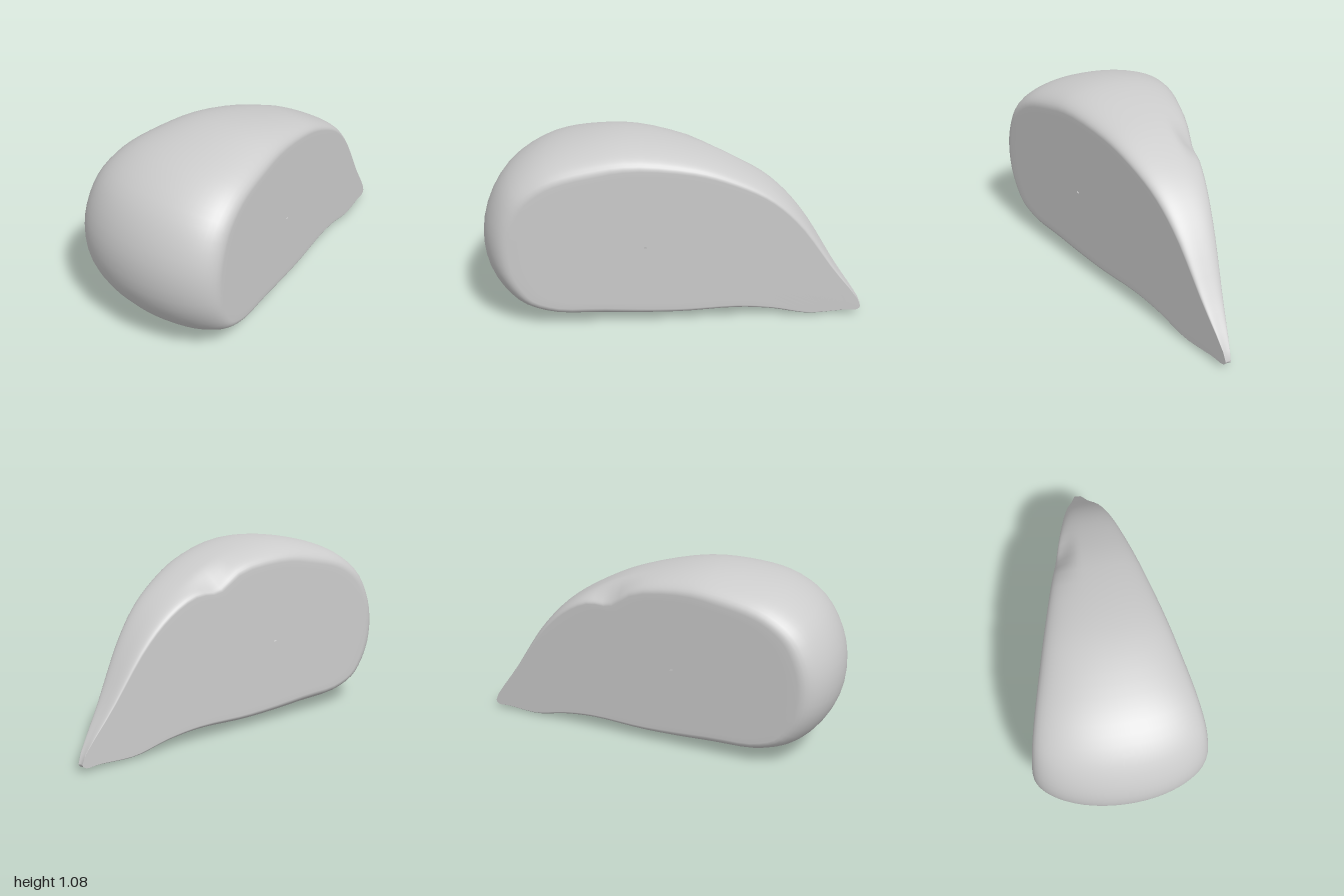
import * as THREE from 'three';

const APEX = { x: 0.775, z: -0.985 };       // vertical axis the wedge swings around
const MID = THREE.MathUtils.degToRad(34.4); // centre direction, from +z towards -x
const HALF = THREE.MathUtils.degToRad(13.8); // half of the wedge angle
const COLS = 80;

// Side profile of the wedge: distance from the apex, height
const PROFILE = [
  [0, 0.045], [0.18, 0.32], [0.38, 0.62], [0.55, 0.79], [0.77, 0.92], [1.0, 1.01],
  [1.4, 1.083], [1.7, 1.06], [1.95, 0.985], [2.14, 0.84], [2.25, 0.6], [2.24, 0.35],
  [2.1, 0.14], [1.87, 0.04], [1.5, 0.02], [1.1, 0.02], [0.75, 0.045], [0.55, 0.035],
  [0.32, 0.0], [0.1, 0.018], [0.02, 0.02],
];

function createWedgeGeometry() {
  const curve = new THREE.CatmullRomCurve3(
    PROFILE.map(([r, y]) => new THREE.Vector3(r, y, 0)), true, 'centripetal');
  const outline = [];
  for (let j = 0; j < COLS; j++) {
    const p = curve.getPoint(j / COLS), t = curve.getTangent(j / COLS);
    outline.push({ r: p.x, y: p.y, nr: -t.y, ny: t.x }); // outward normal
  }

  // Slices: flat right face, rounded sweep, flat left face
  const slices = [0.01, 0.35, 0.7, 0.92].map((s) => ({ u: -1, s }));
  const SWEEP = 28;
  for (let i = 0; i <= SWEEP; i++) {
    slices.push({ u: Math.sin((i / SWEEP - 0.5) * Math.PI), s: 1 });
  }
  slices.push(...[0.92, 0.7, 0.35, 0.01].map((s) => ({ u: 1, s })));

  const positions = [], index = [];
  for (const { u, s } of slices) {
    // the outline draws in towards both cut faces, which rounds the rim
    const round = 1 - Math.pow(Math.max(0, 1 - Math.pow(Math.abs(u), 2.1)), 1 / 2.1);
    const angle = MID + u * HALF;
    for (const { r, y, nr, ny } of outline) {
      const grow = Math.min(1, r / 1.6) * round;
      let pr = r - 0.19 * nr * grow;
      let py = y - (ny > 0 ? 0.14 : 0.1) * ny * grow;
      // small dent in the upper rim of the left cut face
      if (y > 0.5 && r < 1.5) {
        py -= 0.06 * THREE.MathUtils.smoothstep(u, 0.4, 0.95) * Math.exp(-(((r - 0.86) / 0.11) ** 2));
      }
      pr = 1.3 + (pr - 1.3) * s;
      py = 0.5 + (py - 0.5) * s;
      const side = -0.015 * u; // keeps the tip slightly blunt
      positions.push(
        APEX.x - Math.sin(angle) * pr + Math.cos(angle) * side,
        Math.max(0, py),
        APEX.z + Math.cos(angle) * pr + Math.sin(angle) * side);
    }
  }
  for (let i = 0; i < slices.length - 1; i++) {
    for (let j = 0; j < COLS; j++) {
      const k = (j + 1) % COLS;
      const a = i * COLS + j, b = a + COLS, c = i * COLS + k, d = c + COLS;
      index.push(a, b, c, b, d, c);
    }
  }
  const geometry = new THREE.BufferGeometry();
  geometry.setAttribute('position', new THREE.Float32BufferAttribute(positions, 3));
  geometry.setIndex(index);
  geometry.computeVertexNormals();
  return geometry;
}

export function createModel() {
  const group = new THREE.Group();
  group.name = 'wedge';
  const body = new THREE.Mesh(
    createWedgeGeometry(),
    new THREE.MeshStandardMaterial({ color: 0xcccccc, side: THREE.DoubleSide }));
  body.name = 'wedgeBody';
  group.add(body);
  return group;
}
